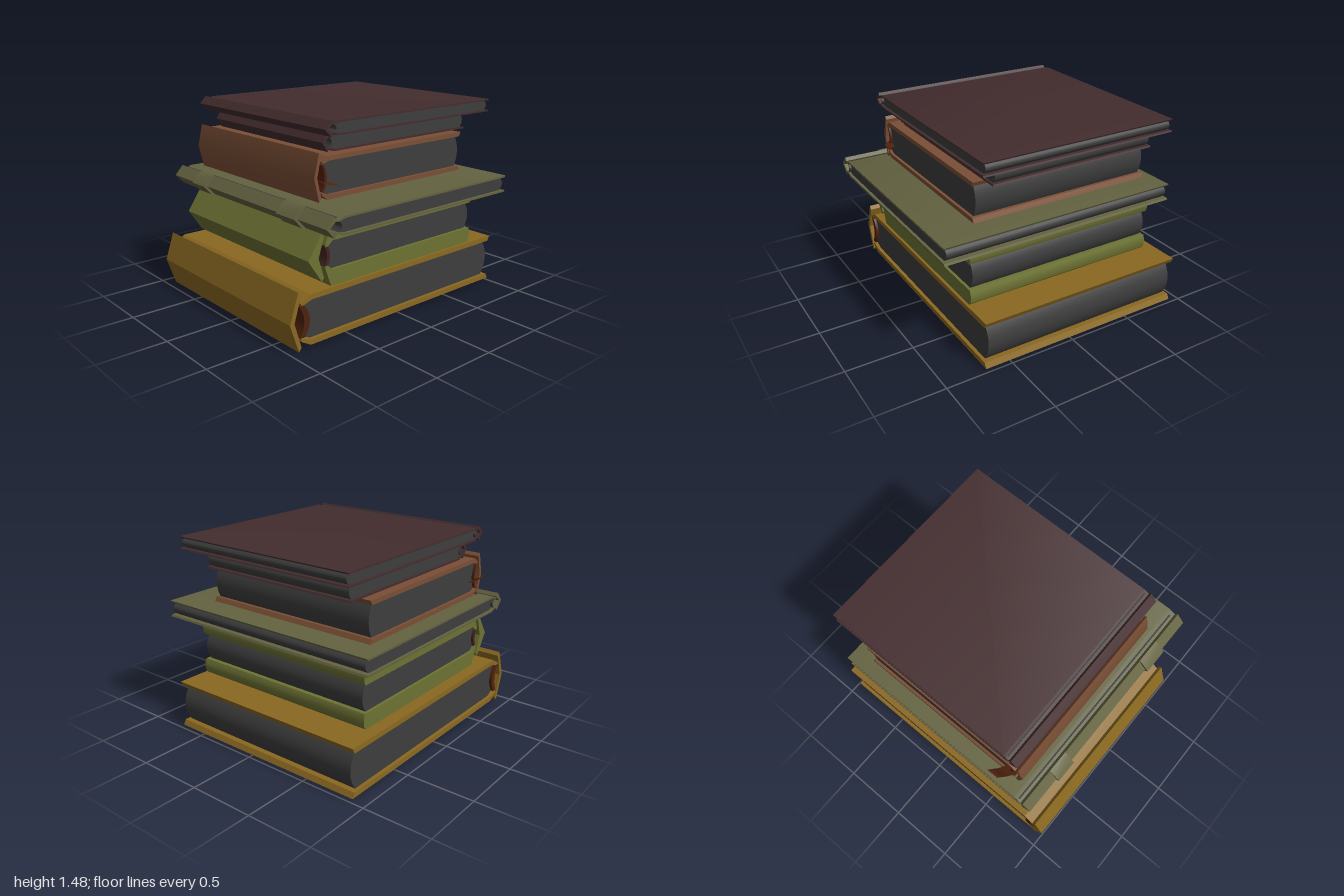
import * as THREE from 'three';
import { toCreasedNormals } from 'three/addons/utils/BufferGeometryUtils.js';

const makeMaterial = (name, color, side = THREE.FrontSide) => {
  const m = new THREE.MeshStandardMaterial({ color, side });
  m.name = name;
  return m;
};

// Extrudes an x/y outline from z0 to z1
function slab(name, points, z0, z1, material) {
  const shape = new THREE.Shape(points.map(([x, y]) => new THREE.Vector2(x, y)));
  let geo = new THREE.ExtrudeGeometry(shape, { depth: z1 - z0, bevelEnabled: false });
  geo.translate(0, 0, z0);
  geo = toCreasedNormals(geo, 0.5);
  const mesh = new THREE.Mesh(geo, material);
  mesh.name = name;
  return mesh;
}

// Points of a vertical bow from y0 to y1, pushed out by depth at the middle
function bow(x, y0, y1, depth, n = 12) {
  return Array.from({ length: n + 1 }, (_, i) => {
    const t = i / n;
    return [x + depth * 4 * t * (1 - t), y0 + (y1 - y0) * t];
  });
}

function box(name, x0, x1, y0, y1, z0, z1, material) {
  const mesh = new THREE.Mesh(new THREE.BoxGeometry(x1 - x0, y1 - y0, z1 - z0), material);
  mesh.position.set((x0 + x1) / 2, (y0 + y1) / 2, (z0 + z1) / 2);
  mesh.name = name;
  return mesh;
}

function makeBook(b, pageMaterial) {
  const book = new THREE.Group();
  book.name = b.name;
  const mid = (b.y0 + b.y1) / 2, h = (b.y1 - b.y0) / 2, inner = h - b.t;
  const lipY = h - b.drop;

  // Two boards, each with a lip that folds down toward the spine
  for (const s of [1, -1]) {
    const edge = b.puffy
      ? [[b.x1 - 0.025, h], [b.x1 - 0.006, h - 0.018], [b.x1, h - 0.045], [b.x1, inner + 0.03], [b.x1 - 0.012, inner]]
      : [[b.x1, h], [b.x1 - 0.5 * b.t, inner]];
    const outline = [
      [b.x0, h], ...edge, [b.x0 + 0.012, inner],
      [b.lip + 0.35 * (b.x0 - b.lip) + 0.008, lipY - 0.3 * Math.min(b.t, 0.04)],
      [b.lip + 0.004, lipY - 0.4 * Math.min(b.t, 0.04)], [b.lip, lipY],
    ].map(([x, y]) => [x, mid + s * y]);
    book.add(slab(s > 0 ? 'topBoard' : 'bottomBoard', outline, b.z0, b.z1, b.cover));
  }

  // Page block: bowed fore edge, hollow spine edge
  const p = inner - 0.001, q = Math.min(p * 0.8, lipY - 0.2 * Math.min(b.t, 0.04));
  const pageLeft = b.lip + 0.35 * (b.x0 - b.lip);
  const bulge = b.bulge;
  const pages = [
    [b.x0 + 0.012, mid - p],
    ...bow(b.x1 - 0.008 - bulge, mid - p, mid + p, bulge),
    [b.x0 + 0.012, mid + p],
    ...bow(pageLeft, mid - q, mid + q, b.hollow).reverse(),
  ];
  book.add(slab('pages', pages, b.z0 + b.inset, b.z1 - b.inset, pageMaterial));

  // Lining glued over the spine edge of the pages
  const lining = [
    ...bow(pageLeft + 0.003, mid - q, mid + q, b.hollow),
    ...bow(pageLeft - b.liningT, mid - q, mid + q, b.hollow * 0.8).reverse(),
  ];
  book.add(slab('spineLining', lining, b.z0 + 0.004, b.z1 - 0.004, b.lining));

  // Folded spine: [x, y] of the outer tip, inner crease and open ends
  const [tip, crease, end, sh, sm] = b.spine;
  const w = b.spineLip;
  book.add(slab('spine', [
    [end, sm + sh], [tip, sm], [end, sm - sh],
    [end + w, sm - sh + 1.2 * w], [crease, sm], [end + w, sm + sh - 1.2 * w],
  ], b.z0, b.z1, b.cover));
  return book;
}

export function createModel() {
  const group = new THREE.Group();
  group.name = 'bookStack';

  const pages = makeMaterial('darkGreyPages', 0x3d3d3d);
  const ochre = makeMaterial('ochreCover', 0x8a6820);
  const olive = makeMaterial('oliveCover', 0x6d7233);
  const sage = makeMaterial('sageCover', 0x636240);
  const tan = makeMaterial('tanCover', 0x7a4e35);
  const plum = makeMaterial('plumCover', 0x432c2e);
  const rust = makeMaterial('rustLining', 0x4f210d, THREE.DoubleSide);
  const wine = makeMaterial('wineLining', 0x40241f);

  const books = [
    { name: 'ochreBook', cover: ochre, lining: rust, x0: -0.83, x1: 0.99, y0: 0.035, y1: 0.39, z0: -0.91, z1: 0.70,
      t: 0.038, lip: -0.91, drop: 0.045, bulge: 0.05, hollow: 0.045, liningT: 0.035, inset: 0.025,
      spine: [-1.0, -0.963, -0.93, 0.208, 0.22], spineLip: 0.022 },
    { name: 'oliveBook', cover: olive, lining: wine, x0: -0.64, x1: 0.76, y0: 0.39, y1: 0.82, z0: -0.82, z1: 0.68,
      t: 0.115, lip: -0.69, drop: 0.135, bulge: 0.035, hollow: 0.025, liningT: 0.02, inset: 0.02, puffy: true,
      spine: [-0.83, -0.745, -0.72, 0.165, 0.605], spineLip: 0.02 },
    { name: 'sageBook', cover: sage, lining: pages, x0: -0.73, x1: 0.86, y0: 0.82, y1: 0.945, z0: -0.915, z1: 0.915,
      t: 0.014, lip: -0.795, drop: 0.022, bulge: 0.035, hollow: 0.035, liningT: 0.004, inset: 0.02,
      spine: [-0.875, -0.845, -0.81, 0.07, 0.885], spineLip: 0.02 },
    { name: 'tanBook', cover: tan, lining: rust, x0: -0.61, x1: 0.69, y0: 0.96, y1: 1.25, z0: -0.81, z1: 0.61,
      t: 0.032, lip: -0.655, drop: 0.035, bulge: 0.03, hollow: 0.025, liningT: 0.012, inset: 0.02,
      spine: [-0.72, -0.695, -0.68, 0.163, 1.115], spineLip: 0.018 },
    { name: 'smallPlumBook', cover: plum, lining: pages, x0: -0.49, x1: 0.815, y0: 1.253, y1: 1.375, z0: -0.745, z1: 0.535,
      t: 0.012, lip: -0.54, drop: 0.022, bulge: 0.025, hollow: 0.025, liningT: 0.004, inset: 0.015,
      spine: [-0.588, -0.565, -0.545, 0.065, 1.32], spineLip: 0.016 },
    { name: 'topPlumBook', cover: plum, lining: pages, x0: -0.57, x1: 0.93, y0: 1.389, y1: 1.482, z0: -0.82, z1: 0.672,
      t: 0.01, lip: -0.615, drop: 0.018, bulge: 0.025, hollow: 0.025, liningT: 0.004, inset: 0.02,
      spine: [-0.682, -0.657, -0.63, 0.052, 1.437], spineLip: 0.016 },
  ];
  for (const b of books) group.add(makeBook(b, pages));

  // Raised panel under the lowest board
  group.add(box('bottomPanel', -0.82, 0.89, 0.022, 0.036, -0.86, 0.65, ochre));

  // Raised bands on the sage spine
  for (const [z0, z1] of [[-0.62, -0.45], [0.43, 0.63]]) {
    group.add(slab('spineBand', [
      [-0.81, 0.962], [-0.84, 0.95], [-0.897, 0.885], [-0.84, 0.82], [-0.81, 0.808],
      [-0.81, 0.815], [-0.87, 0.885], [-0.81, 0.955],
    ], z0, z1, sage));
  }

  // Hinge grooves pressed in the thin covers
  group.add(box('sageGroove', -0.77, -0.758, 0.93, 0.936, -0.9, 0.88, pages));
  group.add(box('plumGroove', -0.594, -0.586, 1.472, 1.478, -0.8, 0.65, pages));

  // Ribbon bookmark: a flat strip through the tan book, hanging out at both ends
  const path = [[-0.54, 1.135, -0.91], [-0.56, 1.13, -0.885], [-0.58, 1.1, -0.855], [-0.6, 1.085, -0.82], [-0.61, 1.075, -0.78],
    [-0.61, 1.075, 0.58], [-0.605, 1.07, 0.62], [-0.58, 1.06, 0.65]];
  const curve = new THREE.CatmullRomCurve3(path.map(p => new THREE.Vector3(...p)), false, 'centripetal');
  const pos = [], idx = [], n = 60;
  for (let i = 0; i <= n; i++) {
    const c = curve.getPoint(i / n);
    pos.push(c.x - 0.045, c.y + 0.008, c.z, c.x + 0.045, c.y - 0.008, c.z);
    if (i < n) idx.push(2 * i, 2 * i + 2, 2 * i + 1, 2 * i + 1, 2 * i + 2, 2 * i + 3);
  }
  const ribbonGeo = new THREE.BufferGeometry();
  ribbonGeo.setAttribute('position', new THREE.Float32BufferAttribute(pos, 3));
  ribbonGeo.setIndex(idx);
  ribbonGeo.computeVertexNormals();
  const ribbon = new THREE.Mesh(ribbonGeo, rust);
  ribbon.name = 'ribbonBookmark';
  group.add(ribbon);

  return group;
}
